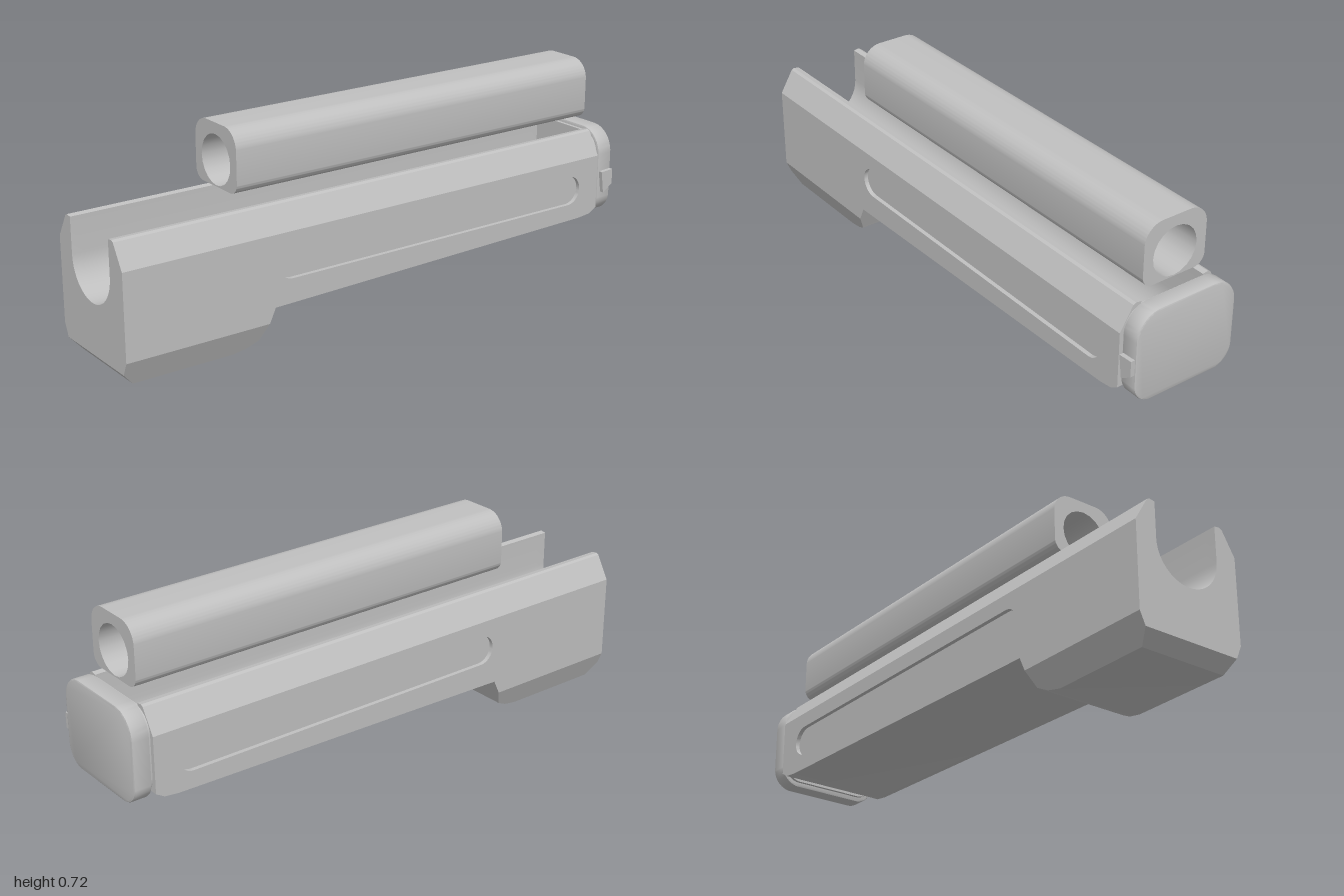
import * as THREE from 'three';
import { toCreasedNormals } from 'three/addons/utils/BufferGeometryUtils.js';

const grey = new THREE.MeshStandardMaterial({ color: 0xc0c0c0 });
grey.name = 'grey';

// Underside of the lower body: [z, y], front to rear
const KEEL = [[1, 0.045], [0.96, 0], [0.6, 0], [0.55, 0.01], [0.51, 0.03], [0.483, 0.09],
  [0.46, 0.14], [-0.85, 0.166], [-0.9, 0.172], [-0.93, 0.19]];
const HALF = 0.2, RECESS = 0.185, SHOULDER = 0.385, CHAMFER = 0.09;

function add(parent, geometry, name, crease = 0.5) {
  const mesh = new THREE.Mesh(toCreasedNormals(geometry, crease), grey);
  mesh.name = name;
  parent.add(mesh);
  return mesh;
}

// Cross-section with a U-shaped channel, counterclockwise from the front
function section(keel) {
  const side = Math.max(CHAMFER, keel);
  const foot = Math.min(HALF, 0.16 + 0.04 * keel / CHAMFER);
  const half = [[foot, keel], [HALF, side], [RECESS, side], [RECESS, SHOULDER],
    [HALF, SHOULDER], [0.152, 0.466], [0.142, 0.471], [0.122, 0.468]];
  const pts = half.map(([x, y]) => new THREE.Vector2(x, y));
  for (let i = 0; i <= 20; i++) {
    const a = Math.PI * i / 20;
    pts.push(new THREE.Vector2(0.122 * Math.cos(a), 0.345 - 0.123 * Math.sin(a)));
  }
  for (const [x, y] of half.reverse()) pts.push(new THREE.Vector2(-x, y));
  return pts;
}

function bodyGeometry() {
  const rings = KEEL.map(([, y]) => section(y));
  const n = rings[0].length, pos = [], index = [];
  rings.forEach((ring, i) => ring.forEach(p => pos.push(p.x, p.y, KEEL[i][0])));
  for (let i = 0; i < rings.length - 1; i++) {
    for (let j = 0; j < n; j++) {
      const a = i * n + j, b = i * n + (j + 1) % n;
      index.push(a, a + n, b, b, a + n, b + n);
    }
  }
  // End faces
  const last = (rings.length - 1) * n;
  for (const [a, b, c] of THREE.ShapeUtils.triangulateShape(rings[0], [])) index.push(a, b, c);
  for (const [a, b, c] of THREE.ShapeUtils.triangulateShape(rings[rings.length - 1], [])) {
    index.push(last + c, last + b, last + a);
  }
  const g = new THREE.BufferGeometry();
  g.setAttribute('position', new THREE.Float32BufferAttribute(pos, 3));
  g.setIndex(index);
  return g;
}

// Side wall with a long rounded slot; s is +1 for left, -1 for right
function panelGeometry(s) {
  const shape = new THREE.Shape();
  shape.moveTo(-s * 1, SHOULDER);
  for (const [z, y] of KEEL) shape.lineTo(-s * z, Math.max(CHAMFER, y));
  shape.lineTo(s * 0.93, SHOULDER);
  shape.closePath();
  const r = 0.053, mid = 0.2 * s, cy = 0.278, len = 0.645 - r;
  const slot = new THREE.Path();
  slot.absarc(mid + len, cy, r, -Math.PI / 2, Math.PI / 2, false);
  slot.absarc(mid - len, cy, r, Math.PI / 2, Math.PI * 1.5, false);
  slot.closePath();
  shape.holes.push(slot);
  const g = new THREE.ExtrudeGeometry(shape, { depth: HALF - RECESS, bevelEnabled: false, curveSegments: 10 });
  return g.translate(0, 0, RECESS).rotateY(s * Math.PI / 2);
}

// Rounded rectangle with separate top and bottom corner radii
function roundedShape(w, y0, y1, rt, rb) {
  const s = new THREE.Shape();
  s.absarc(w - rb, y0 + rb, rb, -Math.PI / 2, 0, false);
  s.absarc(w - rt, y1 - rt, rt, 0, Math.PI / 2, false);
  s.absarc(-w + rt, y1 - rt, rt, Math.PI / 2, Math.PI, false);
  s.absarc(-w + rb, y0 + rb, rb, Math.PI, Math.PI * 1.5, false);
  s.closePath();
  return s;
}

export function createModel() {
  const model = new THREE.Group();
  model.name = 'handguardAssembly';
  model.position.x = -0.005;

  // Lower body and its slotted sides
  add(model, bodyGeometry(), 'lowerBody');
  add(model, panelGeometry(1), 'leftSidePanel');
  add(model, panelGeometry(-1), 'rightSidePanel');

  // Upper cover with a round bore
  const cover = roundedShape(0.121, 0.508, 0.72, 0.068, 0.04);
  const bore = new THREE.Path();
  bore.absarc(0, 0.597, 0.085, 0, Math.PI * 2, true);
  cover.holes.push(bore);
  add(model, new THREE.ExtrudeGeometry(cover, { depth: 1.475, bevelEnabled: false, curveSegments: 10 }),
    'upperCover').position.z = -0.93;

  // Rear end cap on a slimmer neck
  const neck = roundedShape(0.185, 0.175, 0.462, 0.08, 0.06);
  add(model, new THREE.ExtrudeGeometry(neck, { depth: 0.015, bevelEnabled: false, curveSegments: 8 }),
    'capNeck').position.z = -0.942;
  const cap = roundedShape(0.189, 0.164, 0.469, 0.084, 0.065);
  add(model, new THREE.ExtrudeGeometry(cap, {
    depth: 0.05, bevelSize: 0.006, bevelThickness: 0.006, bevelSegments: 2, curveSegments: 8,
  }), 'endCap').position.z = -0.994;

  // Small latch on the left of the cap
  const latch = new THREE.Shape([[0.944, 0.322], [0.955, 0.243], [0.996, 0.27], [0.996, 0.325]]
    .map(([x, y]) => new THREE.Vector2(x, y)));
  const latchGeometry = new THREE.ExtrudeGeometry(latch, { depth: 0.025, bevelEnabled: false });
  add(model, latchGeometry.translate(0, 0, 0.185).rotateY(Math.PI / 2), 'latch');

  return model;
}
